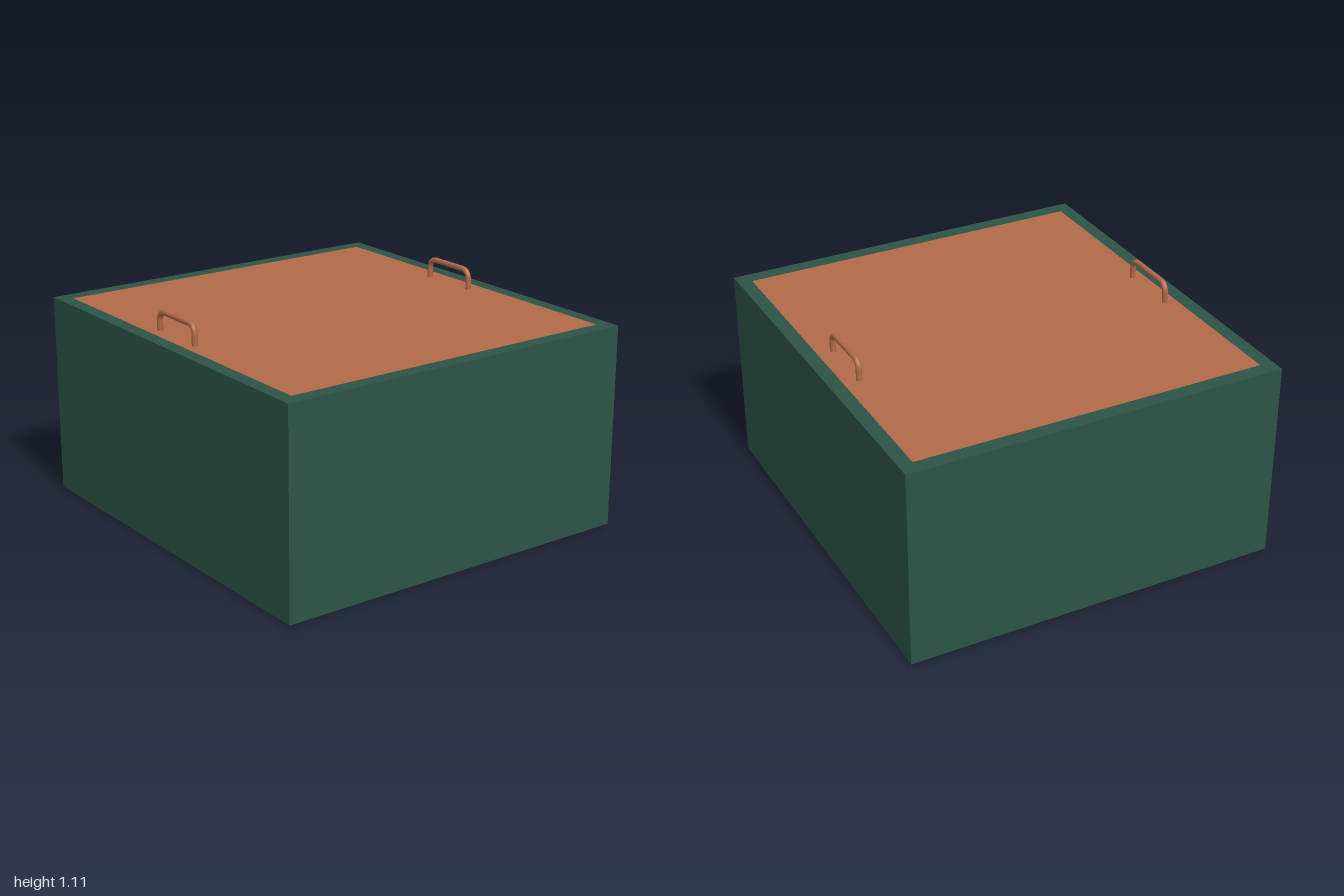
import * as THREE from 'three';

const W = 1.885, D = 2, H = 1;          // outer size
const PW = 1.748, PD = 1.852;           // lid panel size

export function createModel() {
  const model = new THREE.Group();
  const green = new THREE.MeshStandardMaterial({ name: 'dark green', color: 0x2d5446, side: THREE.DoubleSide });
  const copper = new THREE.MeshStandardMaterial({ name: 'copper brown', color: 0xb16a48, side: THREE.DoubleSide });

  const add = (name, geometry, material) => {
    const mesh = new THREE.Mesh(geometry, material);
    mesh.name = name;
    model.add(mesh);
    return mesh;
  };

  // Four thin walls, open underneath
  const walls = [
    ['frontWall', W, 0, D / 2, 0],
    ['leftWall', D, W / 2, 0, Math.PI / 2],
    ['backWall', W, 0, -D / 2, Math.PI],
    ['rightWall', D, -W / 2, 0, -Math.PI / 2],
  ];
  for (const [name, width, x, z, turn] of walls) {
    const wall = add(name, new THREE.PlaneGeometry(width, H), green);
    wall.position.set(x, H / 2, z);
    wall.rotation.y = turn;
  }

  // Rim around the top, with the lid panel flush inside it
  const rect = (path, w, d) => path.moveTo(-w / 2, -d / 2).lineTo(w / 2, -d / 2)
    .lineTo(w / 2, d / 2).lineTo(-w / 2, d / 2).closePath();
  const rimShape = rect(new THREE.Shape(), W, D);
  rimShape.holes.push(rect(new THREE.Path(), PW, PD));
  const rim = add('topRim', new THREE.ShapeGeometry(rimShape).rotateX(-Math.PI / 2), green);
  const panel = add('lidPanel', new THREE.PlaneGeometry(PW, PD).rotateX(-Math.PI / 2), copper);
  rim.position.y = panel.position.y = H;

  // Bent-rod handles: two legs, two rounded corners and a grip
  const v = (y, z) => new THREE.Vector3(0, y, z);
  const r = 0.014, top = H + 0.11 - r, z0 = 0.095, z1 = -0.202, bend = 0.05;
  const path = new THREE.CurvePath();
  path.add(new THREE.LineCurve3(v(H, z0), v(top - bend, z0)));
  path.add(new THREE.QuadraticBezierCurve3(v(top - bend, z0), v(top, z0), v(top, z0 - bend)));
  path.add(new THREE.LineCurve3(v(top, z0 - bend), v(top, z1 + bend)));
  path.add(new THREE.QuadraticBezierCurve3(v(top, z1 + bend), v(top, z1), v(top - bend, z1)));
  path.add(new THREE.LineCurve3(v(top - bend, z1), v(H, z1)));
  const rod = new THREE.TubeGeometry(path, 48, r, 12);
  add('leftHandle', rod, copper).position.x = 0.797;
  add('rightHandle', rod, copper).position.x = -0.817;

  return model;
}
